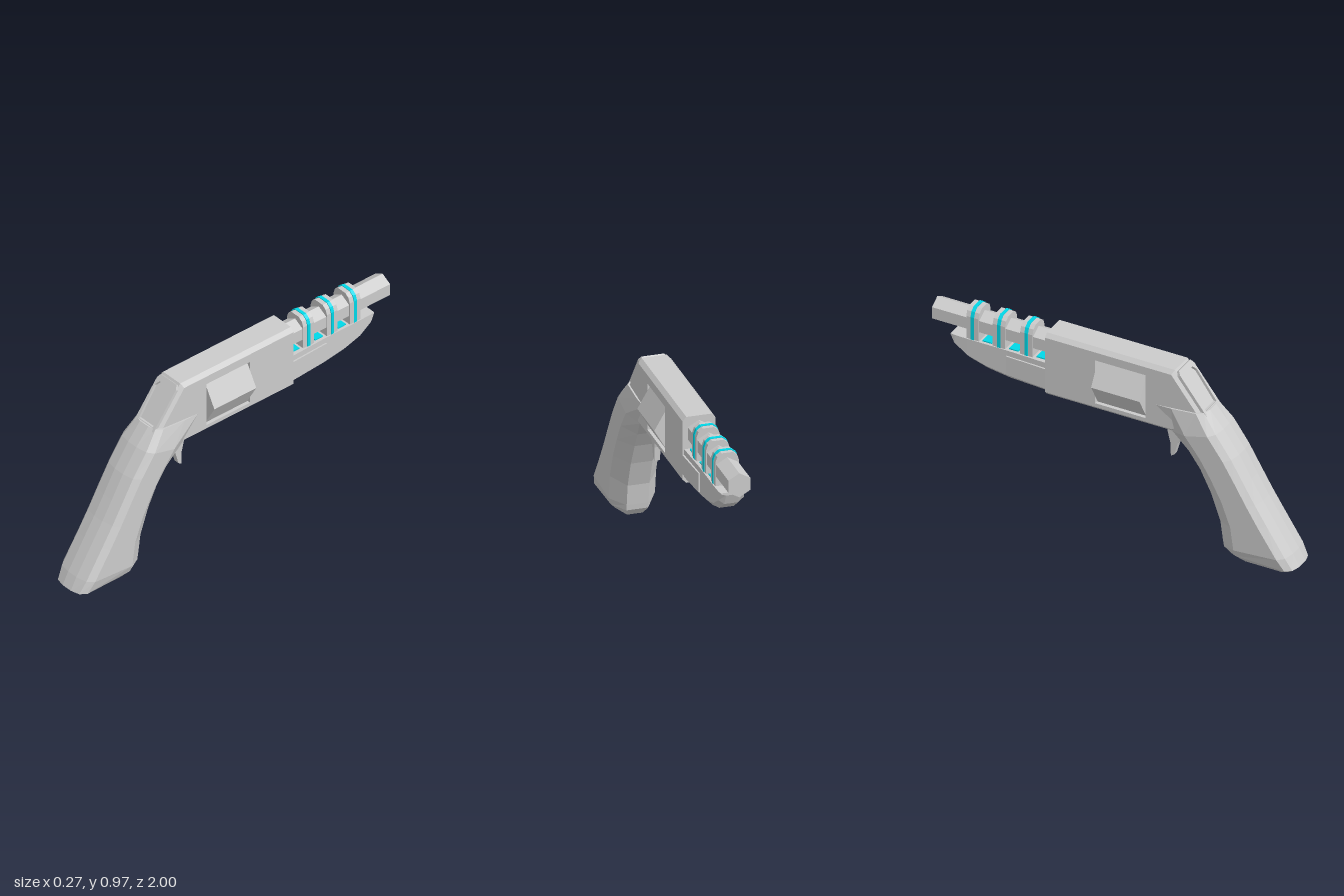
import * as THREE from 'three';

const grey = new THREE.MeshStandardMaterial({ color: 0xcccccc, flatShading: true });
const cyan = new THREE.MeshStandardMaterial({ color: 0x00d8e8, flatShading: true });

// Closed solid through a row of equal-length rings of [x, y, z] points
function loft(rings) {
  const pos = [];
  const tri = (a, b, c) => pos.push(...a, ...b, ...c);
  const n = rings[0].length;
  for (let i = 0; i < rings.length - 1; i++) {
    for (let j = 0; j < n; j++) {
      const k = (j + 1) % n;
      tri(rings[i][j], rings[i][k], rings[i + 1][k]);
      tri(rings[i][j], rings[i + 1][k], rings[i + 1][j]);
    }
  }
  const first = rings[0], last = rings[rings.length - 1];
  for (let j = 1; j < n - 1; j++) {
    tri(first[0], first[j + 1], first[j]);
    tri(last[0], last[j], last[j + 1]);
  }
  const geo = new THREE.BufferGeometry();
  geo.setAttribute('position', new THREE.Float32BufferAttribute(pos, 3));
  geo.computeVertexNormals();
  return geo;
}

const toShape = (pts) => new THREE.Shape(pts.map(([a, b]) => new THREE.Vector2(a, b)));

// Mirror right-hand [x, y] points into a full outline
const mirrored = (pts) => [...pts, ...pts.map(([x, y]) => [-x, y]).reverse()];

// Extrude a [z, y] profile across x, centred
function sideExtrude(shape, depth, bevel = 0) {
  const geo = new THREE.ExtrudeGeometry(shape, {
    depth, bevelEnabled: bevel > 0, bevelSize: bevel, bevelThickness: bevel, bevelSegments: 1,
  });
  return geo.translate(0, 0, -depth / 2).rotateY(-Math.PI / 2);
}

// Receiver with chamfered edges and a square-walled side window
function receiverGeometry() {
  const shape = toShape([[-0.345, 0.64], [0.33, 0.64], [0.476, 0.755], [0.326, 0.95], [-0.345, 0.95]]);
  shape.holes.push(toShape([[-0.09, 0.66], [-0.09, 0.905], [0.185, 0.905], [0.185, 0.66]]));
  const geo = sideExtrude(shape, 0.126, 0.02);
  const p = geo.attributes.position;
  for (let i = 0; i < p.count; i++) {
    const y = p.getY(i), z = p.getZ(i);
    if (z < -0.3) p.setZ(i, -0.365);
    else if (z > -0.12 && z < 0.21 && y > 0.65 && y < 0.92) {
      p.setY(i, y > 0.78 ? 0.905 : 0.66);
      p.setZ(i, z > 0.05 ? 0.185 : -0.09);
    }
  }
  geo.computeVertexNormals();
  return geo;
}

// Rim around the recess on the sloping rear face
function rearFrameGeometry() {
  const shape = toShape(mirrored([[0.07, -0.02], [0.07, 0.215], [0.058, 0.238]]));
  shape.holes.push(toShape(mirrored([[0.052, 0], [0.06, 0.18], [0.043, 0.206]])));
  return new THREE.ExtrudeGeometry(shape, { depth: 0.017, bevelEnabled: false })
    .translate(0, 0, -0.017).rotateX(-0.657).translate(0, 0.78, 0.5);
}

// Curved grip: [back z, back y, front z, front y, width scale, front half width]
function gripGeometry() {
  const sections = [
    [0.51, 0.778, 0.24, 0.755, 0.78, 0.083],
    [0.585, 0.69, 0.33, 0.625, 1, 0.075],
    [0.67, 0.57, 0.41, 0.53, 1, 0.06],
    [0.74, 0.45, 0.47, 0.44, 1, 0.055],
    [0.80, 0.35, 0.53, 0.32, 1, 0.055],
    [0.865, 0.25, 0.58, 0.18, 1, 0.055],
    [0.965, 0.095, 0.595, 0.07, 1, 0.055],
    [1.0, 0.03, 0.6, 0.04, 0.88, 0.055],
    [0.965, 0, 0.635, 0, 0.6, 0.04],
  ];
  return loft(sections.map(([bz, by, fz, fy, s, f]) => {
    const len = Math.hypot(fz - bz, fy - by);
    const half = [[0.03, 0], [0.09 * s, 0.012], [0.117 * s, 0.045], [0.117 * s, len - 0.09], [f, len]];
    const at = (x, d) => [x, by + (fy - by) * d / len, bz + (fz - bz) * d / len];
    return [...half.map(([x, d]) => at(-x, d)), ...half.reverse().map(([x, d]) => at(x, d))];
  }));
}

// Boat-shaped fore-end: [z, bottom y, half width, chamfer height]
function foreEndGeometry() {
  const sections = [
    [-0.36, 0.622, 0.074, 0.03], [-0.58, 0.63, 0.066, 0.03], [-0.7, 0.648, 0.066, 0.03],
    [-0.8, 0.678, 0.066, 0.03], [-0.872, 0.73, 0.064, 0.025], [-0.895, 0.785, 0.06, 0.01],
  ];
  return loft(sections.map(([z, b, w, c]) => [
    [-w, 0.8, z], [w, 0.8, z], [w, b + c, z], [0.55 * w, b, z], [-0.55 * w, b, z], [-w, b + c, z],
  ]));
}

// Tapering panels standing proud on both flanks of the fore-end
function sidePanelGeometry() {
  return loft([[-0.36, 0.083], [-0.585, 0.073]].map(([z, w]) =>
    [[-w, 0.77, z], [w, 0.77, z], [w, 0.67, z], [-w, 0.67, z]]));
}

// Arched band around the barrel, grown by a small margin for the stripe
function bandGeometry(width, grow) {
  const arch = [[0.06, 0.79], [0.06, 0.925], [0.05, 0.953], [0.028, 0.97]];
  const pts = arch.map(([x, y], i) => [x + grow, i ? y + grow : y]);
  return new THREE.ExtrudeGeometry(toShape(mirrored(pts)), { depth: width, bevelEnabled: false })
    .translate(0, 0, -width / 2);
}

export function createModel() {
  const model = new THREE.Group();
  const add = (name, geo, mat = grey, z = 0) => {
    const mesh = new THREE.Mesh(geo, mat);
    mesh.name = name;
    mesh.position.z = z;
    model.add(mesh);
    return mesh;
  };

  add('receiver', receiverGeometry());
  add('rearFrame', rearFrameGeometry());
  add('grip', gripGeometry());
  add('foreEnd', foreEndGeometry());
  add('foreEndPanels', sidePanelGeometry());

  // Six-sided drum showing through the window
  add('drum', new THREE.CylinderGeometry(0.135, 0.135, 0.265, 6)
    .rotateY(Math.PI / 6).rotateX(Math.PI / 2).translate(0, 0.78, 0.048));

  // Six-sided barrel
  add('barrel', new THREE.CylinderGeometry(0.064, 0.064, 0.65, 6)
    .rotateX(Math.PI / 2).translate(0, 0.882, -0.675));

  // Bands with glowing stripes, and a glowing inlay behind each
  for (const z of [-0.48, -0.63, -0.775]) {
    add('barrelBand', bandGeometry(0.068, 0), grey, z);
    add('bandStripe', bandGeometry(0.018, 0.003), cyan, z);
    add('glowInlay', new THREE.BoxGeometry(0.1, 0.012, 0.05).translate(0, 0.8, 0.075), cyan, z);
  }

  // Hooked trigger
  const trigger = toShape([[0.38, 0.64], [0.27, 0.64], [0.268, 0.58], [0.285, 0.51],
    [0.287, 0.438], [0.305, 0.45], [0.325, 0.52], [0.36, 0.58]]);
  add('trigger', sideExtrude(trigger, 0.03));

  return model;
}
